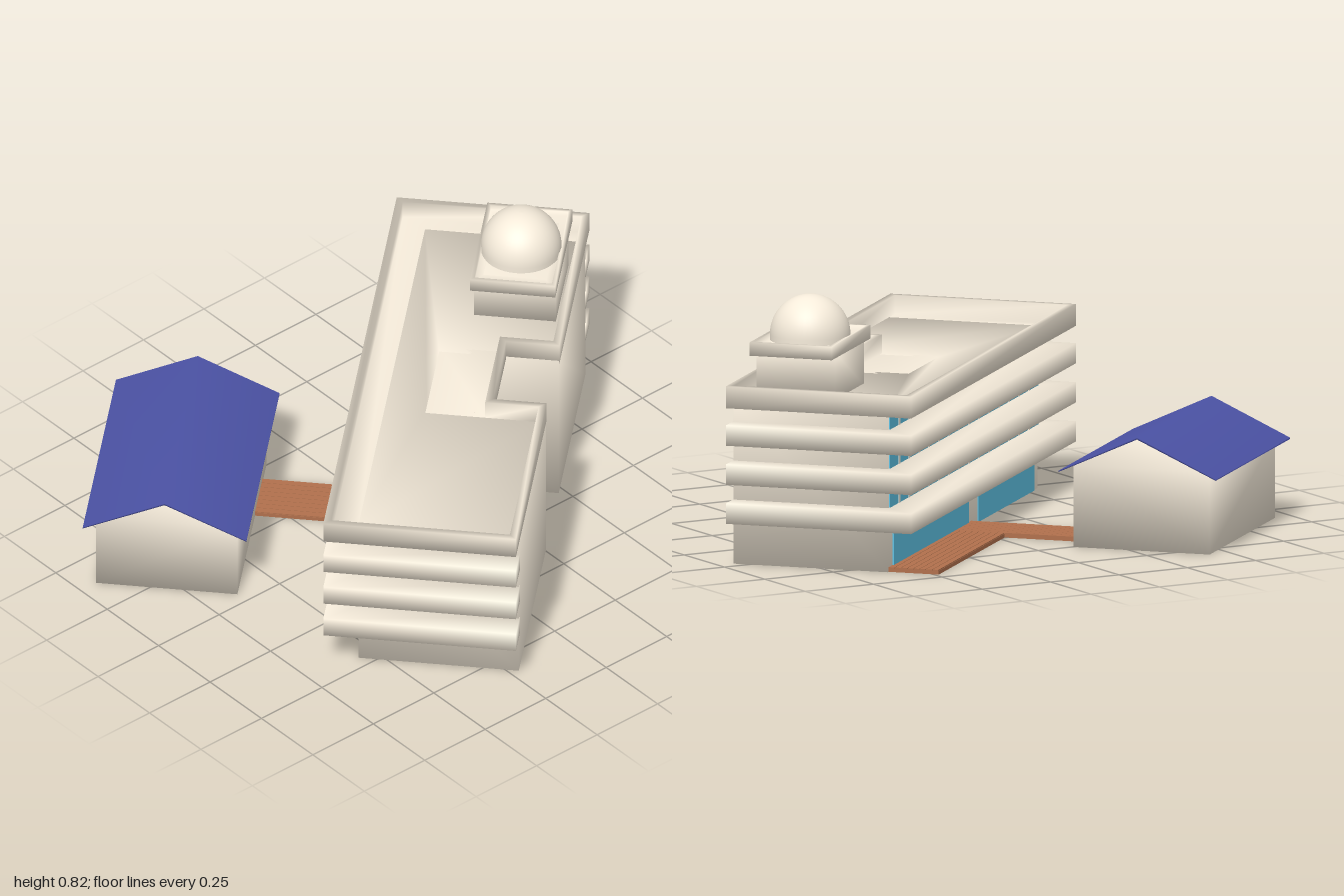
import * as THREE from 'three';
import { mergeVertices } from 'three/addons/utils/BufferGeometryUtils.js';

const mat = (color) => new THREE.MeshStandardMaterial({ color, side: THREE.DoubleSide });
const wallMat = mat(0xf5ebda);
const glassMat = mat(0x5dc0e2);
const roofMat = mat(0x4b52a4);
const deckMat = mat(0xb0704c);

function add(parent, name, geometry, material) {
  const mesh = new THREE.Mesh(geometry, material);
  mesh.name = name;
  parent.add(mesh);
  return mesh;
}

// Share the corners so that shading runs softly around the edges
function soften(geometry) {
  geometry.deleteAttribute('normal');
  geometry.deleteAttribute('uv');
  const merged = mergeVertices(geometry);
  merged.computeVertexNormals();
  return merged;
}

// Box given by its limits on each axis
function box(parent, name, material, [x0, x1], [y0, y1], [z0, z1]) {
  const mesh = add(parent, name, new THREE.BoxGeometry(x1 - x0, y1 - y0, z1 - z0), material);
  mesh.position.set((x0 + x1) / 2, (y0 + y1) / 2, (z0 + z1) / 2);
  return mesh;
}

// Plan outline (x, z pairs) raised from y0 to y1
function prism(parent, name, material, plan, y0, y1) {
  const shape = new THREE.Shape(plan.map(([x, z]) => new THREE.Vector2(x, -z)));
  const geometry = new THREE.ExtrudeGeometry(shape, { depth: y1 - y0, bevelEnabled: false });
  geometry.rotateX(-Math.PI / 2);
  geometry.translate(0, y0, 0);
  return add(parent, name, soften(geometry), material);
}

// Rimmed tray: underside, outer wall, rim, inner wall and floor strip as linked loops
function tray(parent, name, outer, inner, floor, [bottom, floorY, top]) {
  const loops = [[floor, bottom], [outer, bottom], [outer, top], [inner, top], [inner, floorY], [floor, floorY]];
  const n = outer.length;
  const position = [], index = [];
  loops.forEach(([plan, y], k) => {
    plan.forEach(([x, z], i) => {
      position.push(x, y, z);
      if (k === 0) return;
      const a = (k - 1) * n + i, b = (k - 1) * n + ((i + 1) % n);
      index.push(a, b, b + n, a, b + n, a + n);
    });
  });
  const geometry = new THREE.BufferGeometry();
  geometry.setAttribute('position', new THREE.Float32BufferAttribute(position, 3));
  geometry.setIndex(index);
  geometry.computeVertexNormals();
  return add(parent, name, geometry, wallMat);
}

// Rectangle with a notch in its back edge
const notched = (x0, x1, zBack, zFront, hn, zNotch) => [
  [x0, zFront], [x1, zFront], [x1, zBack], [hn, zBack],
  [hn, zNotch], [-hn, zNotch], [-hn, zBack], [x0, zBack],
];
const rect = (cx, cz, hx, hz) => [
  [cx - hx, cz + hz], [cx + hx, cz + hz], [cx + hx, cz - hz], [cx - hx, cz - hz],
];

function mainBuilding() {
  const g = new THREE.Group();
  g.name = 'mainBuilding';
  const front = 0.21, x0 = -0.778, x1 = 0.788;
  const s0 = -0.853, s1 = 0.871, sFront = 0.31, sBack = -0.302;

  prism(g, 'bodyWalls', wallMat, notched(x0, x1, -0.3, front, 0.15, 0.08), 0, 0.52);

  // Balcony bands wrapping the front and both ends
  const band = [
    [s0, sFront], [s1, sFront], [s1, sBack], [x1 - 0.01, sBack],
    [x1 - 0.01, 0.2], [x0 + 0.01, 0.2], [x0 + 0.01, sBack], [s0, sBack],
  ];
  for (const y of [0.14, 0.265, 0.39]) {
    prism(g, 'balconyBand', wallMat, band, y, y + 0.065);
    // Window strip above each band, divided by mullions
    box(g, 'windowStrip', glassMat, [x0 + 0.01, x1 - 0.003],
      [y + 0.065, y + 0.112], [front - 0.01, front + 0.004]);
    for (let i = 1; i < 15; i++) {
      const x = x0 + (i * (x1 - x0)) / 15;
      box(g, 'mullion', wallMat, [x - 0.006, x + 0.006],
        [y + 0.065, y + 0.112], [front, front + 0.006]);
    }
  }

  // Roof edge with parapet, reaching in to the body outline
  tray(g, 'roofParapet',
    notched(s0, s1, sBack, sFront, 0.152, -0.132),
    notched(s0 + 0.022, s1 - 0.022, sBack + 0.022, sFront - 0.022, 0.174, -0.11),
    notched(x0, x1, sBack + 0.022, front, 0.174, 0.08),
    [0.51, 0.52, 0.58]);

  // Ground floor glazing either side of the entrance post
  for (const [a, b] of [[-0.728, 0.055], [0.158, 0.742]]) {
    box(g, 'groundGlazing', glassMat, [a, b], [0, 0.128], [front - 0.01, front + 0.004]);
  }

  // Rooftop room with rimmed slab and dome
  const cx = -0.505, cz = -0.133;
  prism(g, 'roofRoom', wallMat, rect(cx, cz, 0.15, 0.13), 0.515, 0.67);
  prism(g, 'roomSlab', wallMat, rect(cx, cz, 0.192, 0.125), 0.657, 0.68);
  tray(g, 'roomRim', rect(cx, cz, 0.2035, 0.1355), rect(cx, cz, 0.19, 0.123),
    rect(cx, cz, 0.15, 0.1), [0.655, 0.681, 0.698]);
  const profile = [new THREE.Vector2(0.127, 0.67)];
  for (let i = 0; i <= 16; i++) {
    const a = (i / 16) * Math.PI / 2;
    profile.push(new THREE.Vector2(0.127 * Math.cos(a), 0.698 + 0.127 * Math.sin(a)));
  }
  add(g, 'dome', new THREE.LatheGeometry(profile, 40), wallMat).position.set(cx, 0, cz);
  return g;
}

// Profile in (z, y) extruded along x, centred
function alongX(parent, name, material, profile, length) {
  const shape = new THREE.Shape(profile.map(([z, y]) => new THREE.Vector2(-z, y)));
  const geometry = new THREE.ExtrudeGeometry(shape, { depth: length, bevelEnabled: false });
  geometry.translate(0, 0, -length / 2);
  geometry.rotateY(Math.PI / 2);
  return add(parent, name, soften(geometry), material);
}

function house() {
  const g = new THREE.Group();
  g.name = 'house';
  alongX(g, 'houseWalls', wallMat,
    [[-0.225, 0], [0.225, 0], [0.225, 0.262], [0, 0.364], [-0.225, 0.262]], 0.685);
  alongX(g, 'houseRoof', roofMat,
    [[-0.26, 0.25], [0, 0.37], [0.26, 0.25], [0.26, 0.246], [0, 0.364], [-0.26, 0.246]], 0.78);
  g.position.set(0.168, 0, 0.857);
  return g;
}

// Timber path: a run along the facade and a link to the house
function boardwalk() {
  const g = new THREE.Group();
  g.name = 'boardwalk';
  const boards = 8, gap = 0.0015;
  box(g, 'walkBase', deckMat, [-0.77, 0.095], [0, 0.012], [0.21, 0.375]);
  box(g, 'linkBase', deckMat, [-0.08, 0.095], [0, 0.012], [0.375, 0.64]);
  for (let i = 0; i < boards; i++) {
    const z = 0.21 + (i * 0.165) / boards;
    box(g, 'walkBoard', deckMat, [-0.77, -0.08], [0.012, 0.015], [z, z + 0.165 / boards - gap]);
    const x = -0.08 + (i * 0.175) / boards;
    box(g, 'linkBoard', deckMat, [x, x + 0.175 / boards - gap], [0.012, 0.015], [0.21, 0.64]);
  }
  return g;
}

export function createModel() {
  const model = new THREE.Group();
  model.name = 'observatoryBuilding';
  const site = new THREE.Group();
  site.name = 'site';
  site.add(mainBuilding(), house(), boardwalk());
  // The whole site stands diagonally
  site.rotation.y = -0.839;
  site.position.set(0.085, 0, -0.165);
  model.add(site);
  return model;
}
